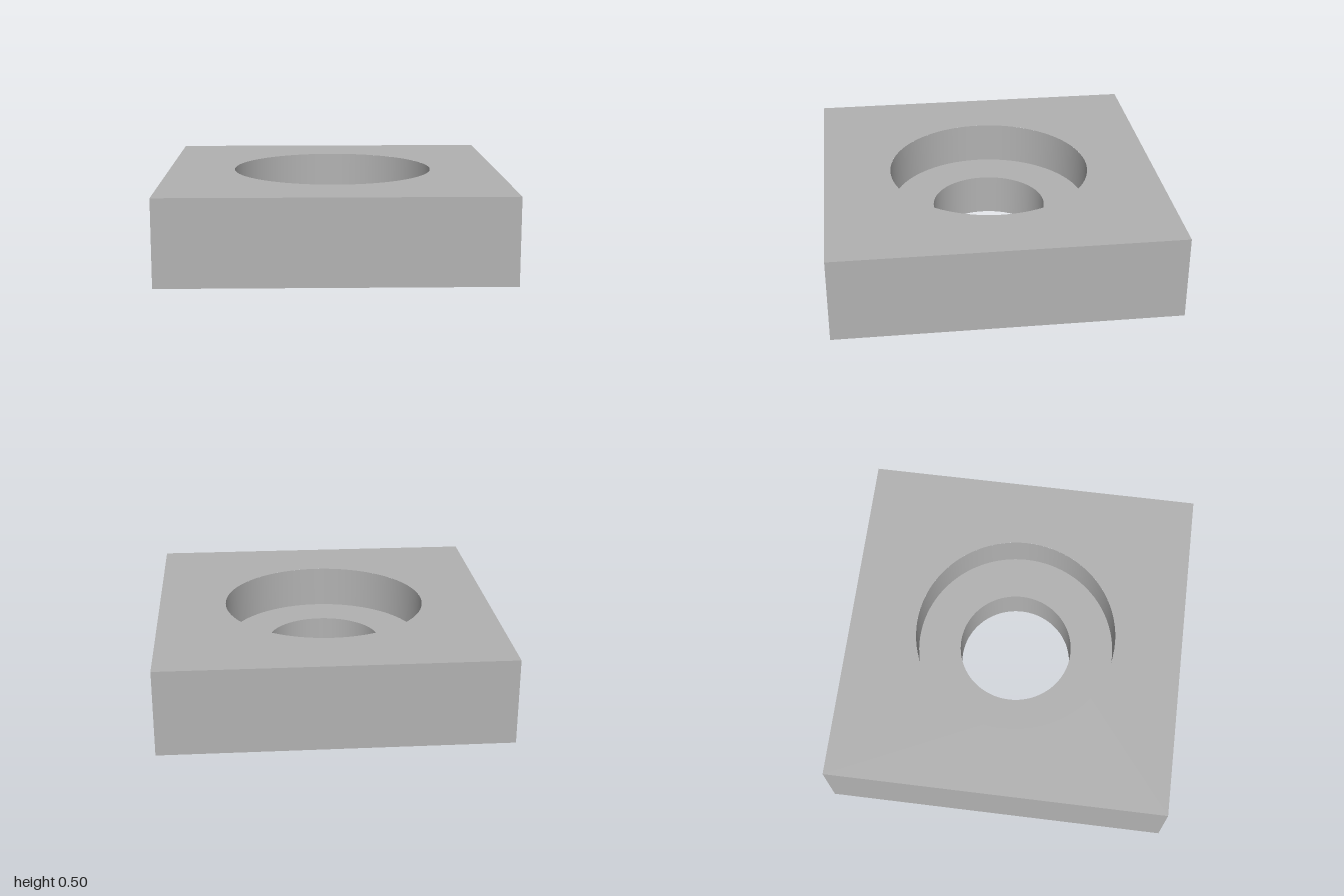
import * as THREE from 'three';

export function createModel() {
  const height = 0.5, stepY = 0.25, boreR = 0.6, holeR = 0.342, segments = 96;
  const grey = new THREE.MeshStandardMaterial({ color: 0xb2b2b2 });
  grey.name = 'grey';

  const model = new THREE.Group();
  model.name = 'counterboredBlock';
  const add = (name, geometry) => {
    const mesh = new THREE.Mesh(geometry, grey);
    mesh.name = name;
    model.add(mesh);
    return mesh;
  };

  // Square face with a round opening
  const face = (radius) => {
    const shape = new THREE.Shape([[-1, -1], [1, -1], [1, 1], [-1, 1]].map(([x, y]) => new THREE.Vector2(x, y)));
    shape.holes.push(new THREE.Path().absarc(0, 0, radius, 0, Math.PI * 2, true));
    return new THREE.ShapeGeometry(shape, segments);
  };
  add('topFace', face(boreR).rotateX(-Math.PI / 2).translate(0, height, 0));
  add('bottomFace', face(holeR).rotateX(Math.PI / 2));

  // Four outer sides
  for (let i = 0; i < 4; i++) {
    add('side' + (i + 1), new THREE.PlaneGeometry(2, height).translate(0, height / 2, 1).rotateY(i * Math.PI / 2));
  }

  // Inward-facing bore walls and the flat step between them, profiles run downwards
  const turned = (r1, y1, r2, y2) =>
    new THREE.LatheGeometry([new THREE.Vector2(r1, y1), new THREE.Vector2(r2, y2)], segments);
  add('counterboreWall', turned(boreR, height, boreR, stepY));
  add('counterboreStep', turned(boreR, stepY, holeR, stepY));
  add('throughHoleWall', turned(holeR, stepY, holeR, 0));

  return model;
}
